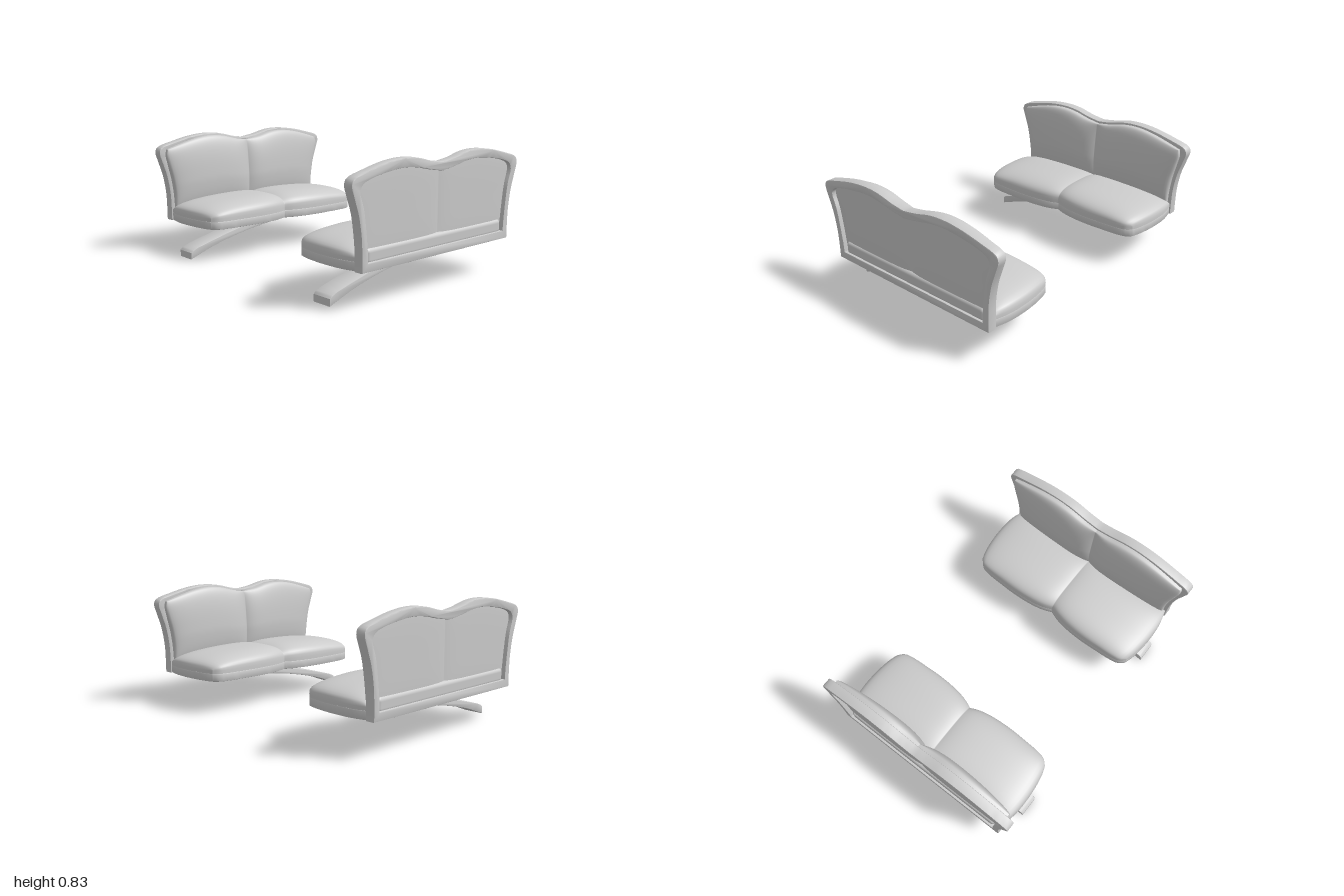
import * as THREE from 'three';
import { toCreasedNormals } from 'three/addons/utils/BufferGeometryUtils.js';
import { RoundedBoxGeometry } from 'three/addons/geometries/RoundedBoxGeometry.js';

const material = new THREE.MeshStandardMaterial({ color: 0xcccccc, side: THREE.DoubleSide });

function spline(points, n) {
  const curve = new THREE.CatmullRomCurve3(points.map(([x, y]) => new THREE.Vector3(x, y, 0)));
  return curve.getPoints(n).map((p) => new THREE.Vector2(p.x, p.y));
}

// Symmetric outline, counter-clockwise: straight run, then smooth run, mirrored in x.
function symmetric(straight, smooth) {
  const right = [...straight.map(([x, y]) => new THREE.Vector2(x, y)), ...spline(smooth, 44)];
  const left = right.slice(1, -1).reverse().map((p) => new THREE.Vector2(-p.x, p.y));
  return [...right, ...left];
}

function extrude(outline, depth, hole, bevel = 0.006) {
  const shape = new THREE.Shape(outline);
  if (hole) shape.holes.push(new THREE.Path(hole));
  const geometry = new THREE.ExtrudeGeometry(shape, {
    depth: depth - 2 * bevel, bevelThickness: bevel, bevelSize: bevel, bevelOffset: -bevel, bevelSegments: 2,
  });
  geometry.translate(0, 0, bevel);
  return toCreasedNormals(geometry, 0.6);
}

// Smooth function through [position, value] pairs
function smooth(pairs) {
  const curve = new THREE.CubicInterpolant(pairs.map((p) => p[0]), pairs.map((p) => p[1]), 1);
  return (t) => curve.evaluate(t)[0];
}

// Four-sided symmetric region: u runs -1..1 across, v runs 0..1 from low to high edge
function region(low, high, side) {
  return (u, v) => {
    const a = low(Math.abs(u)), b = high(Math.abs(u));
    return new THREE.Vector2(u * side(v), a + (b - a) * v);
  };
}

const ease = (t) => (1 - Math.cos(Math.PI * t)) / 2;
const steps = (n) => Array.from({ length: n + 1 }, (_, i) => ease(i / n));

// Domed cushion over a region, with a vertical rim and a crease at x = 0
function cushion(at, { rim, height, power, dip, lean = 0 }) {
  const half = steps(22), inner = steps(30);
  const us = [-1, ...half.slice(1).reverse().map((u) => -u), ...half, 1];
  const vs = [0, ...inner, 1];
  const bulge = (t) => Math.pow(Math.max(0, 1 - Math.pow(Math.abs(t), power)), 1 / power);
  const positions = [], index = [], w = us.length;
  vs.forEach((v, j) => us.forEach((u, i) => {
    const p = at(u, v);
    const skirt = i === 0 || j === 0 || i === w - 1 || j === vs.length - 1;
    const dome = bulge(u) * bulge(2 * v - 1);
    const crease = dip * dome * Math.exp(-Math.abs(p.x) / 0.06);
    const tilt = lean * dome * Math.max(0, v - 0.4);
    positions.push(p.x, p.y, skirt ? 0 : rim + height * dome - crease - tilt);
    if (i < w - 1 && j < vs.length - 1) {
      const k = j * w + i;
      index.push(k, k + 1, k + w + 1, k, k + w + 1, k + w);
    }
  }));
  const geometry = new THREE.BufferGeometry();
  geometry.setAttribute('position', new THREE.Float32BufferAttribute(positions, 3));
  geometry.setIndex(index);
  geometry.computeVertexNormals();
  return geometry;
}

function add(parent, name, geometry, x = 0, y = 0, z = 0) {
  const mesh = new THREE.Mesh(geometry, material);
  mesh.name = name;
  mesh.position.set(x, y, z);
  parent.add(mesh);
}

// One bench with its back at z = -1, facing +z
function createBench() {
  const bench = new THREE.Group();

  // Ring-shaped frame behind the backrest
  const frame = symmetric([[0, 0.228], [0.655, 0.228]], [
    [0.655, 0.3], [0.66, 0.42], [0.683, 0.55], [0.718, 0.655], [0.735, 0.715], [0.72, 0.75],
    [0.6, 0.788], [0.45, 0.82], [0.33, 0.83], [0.22, 0.823], [0.1, 0.795], [0, 0.78],
  ]);
  const opening = symmetric([[0, 0.28], [0.608, 0.28]], [
    [0.61, 0.34], [0.622, 0.45], [0.642, 0.58], [0.67, 0.68], [0.65, 0.715],
    [0.58, 0.742], [0.45, 0.765], [0.33, 0.776], [0.22, 0.767], [0.1, 0.743], [0, 0.728],
  ]);
  add(bench, 'backFrame', extrude(frame, 0.065, opening), 0, 0, -1);

  // Two-lobed backrest and the shallow panel that closes the frame behind it
  const back = region(
    () => 0.31,
    smooth([[0, 0.764], [0.15, 0.78], [0.32, 0.808], [0.48, 0.816], [0.65, 0.803], [0.83, 0.773], [1, 0.738]]),
    smooth([[0, 0.627], [0.25, 0.634], [0.5, 0.65], [0.75, 0.676], [0.92, 0.69], [1, 0.683]]),
  );
  const backrest = cushion(back, { rim: 0.022, height: 0.072, power: 2.4, dip: 0.045, lean: 0.03 });
  add(bench, 'backrestCushion', backrest, 0, 0, -0.938);
  const panel = cushion(back, { rim: 0.002, height: 0.012, power: 4, dip: 0.012 });
  add(bench, 'rearPanel', panel.rotateY(Math.PI), 0, 0, -0.963);

  // Seat plan drawn with y = -z, then laid flat
  const seat = region(
    smooth([[0, 0.465], [0.09, 0.442], [0.22, 0.424], [0.45, 0.413], [0.67, 0.417], [0.87, 0.426], [0.95, 0.44], [1, 0.47]]),
    () => 0.936,
    smooth([[0, 0.635], [0.1, 0.65], [0.25, 0.663], [0.5, 0.673], [0.8, 0.667], [1, 0.645]]),
  );
  const across = [...steps(20).slice(1).reverse().map((u) => -u), ...steps(20)];
  const plan = [
    ...across.map((u) => seat(u, 0)),
    ...steps(16).slice(1).map((v) => seat(1, v)),
    ...steps(16).slice(1).reverse().map((v) => seat(-1, v)),
  ];
  add(bench, 'seatBase', extrude(plan, 0.055).rotateX(-Math.PI / 2), 0, 0.228, 0);
  const top = cushion(seat, { rim: 0.022, height: 0.105, power: 2.8, dip: 0.025 });
  add(bench, 'seatCushion', top.rotateX(-Math.PI / 2), 0, 0.282, 0);

  // Rear edge of the seat, showing through the frame
  add(bench, 'seatRearRoll', new RoundedBoxGeometry(1.216, 0.1, 0.1, 4, 0.03), 0, 0.31, -0.935);
  return bench;
}

// Curved support bar sweeping down towards -x
function createSupport() {
  const lower = spline([[-0.69, 0], [-0.5, 0.068], [-0.25, 0.13], [0, 0.17], [0.36, 0.207]], 24);
  const upper = spline([
    [0.36, 0.229], [0.12, 0.229], [0, 0.219], [-0.2, 0.186], [-0.45, 0.128], [-0.67, 0.063], [-0.69, 0.045],
  ], 24);
  return extrude([...lower, ...upper], 0.14, null, 0.004);
}

export function createModel() {
  const model = new THREE.Group();
  model.name = 'facingBenches';
  for (const side of [-1, 1]) {
    const bench = createBench();
    bench.name = side > 0 ? 'frontBench' : 'rearBench';
    bench.rotation.y = side > 0 ? Math.PI : 0;
    model.add(bench);
    add(model, side > 0 ? 'frontSupport' : 'rearSupport', createSupport(), 0, 0, side * 0.71 - 0.07);
  }
  return model;
}
